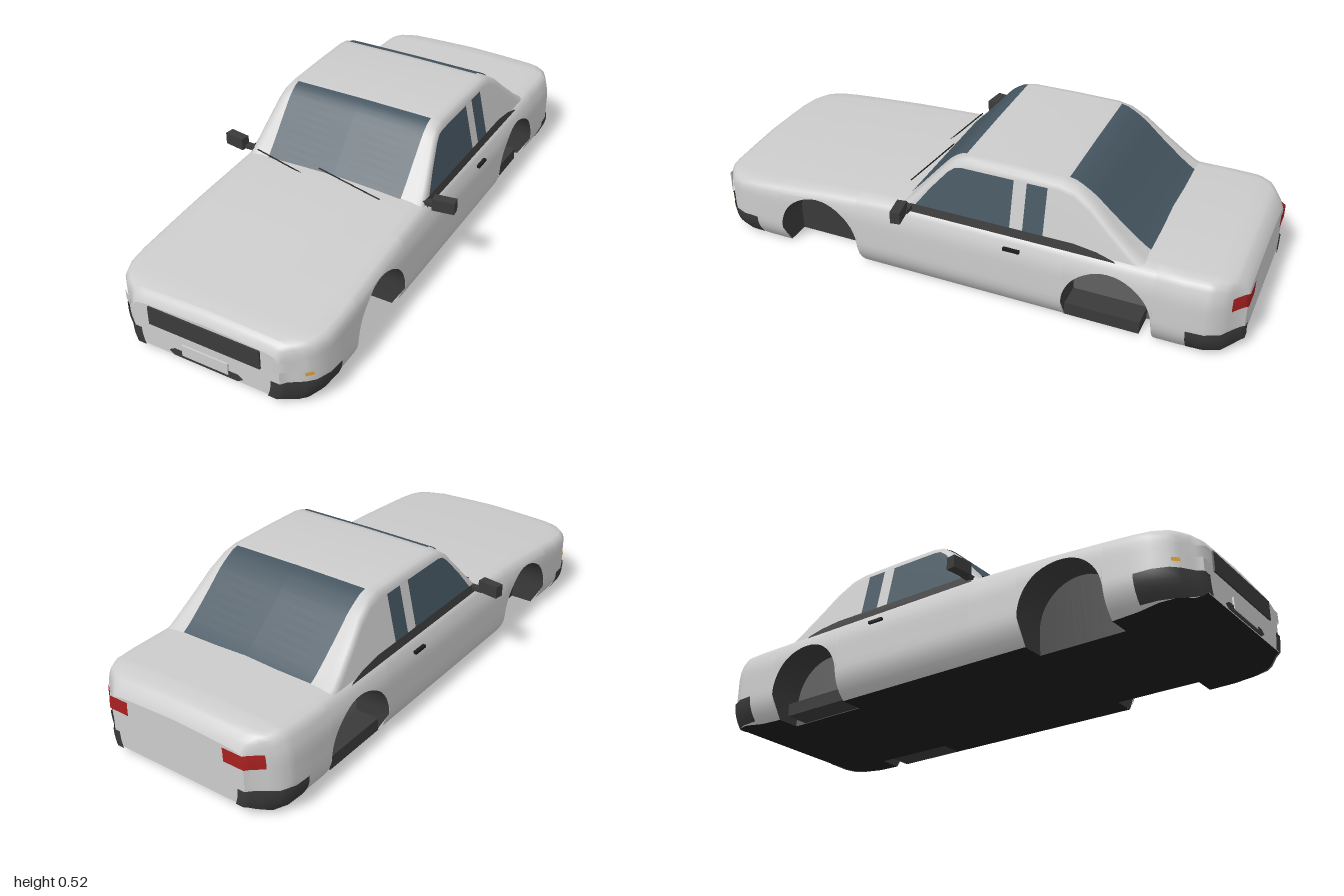
import * as THREE from 'three';

const GREY = 0xcccccc, DARK = 0x3a3a3a, BLACK = 0x1c1c1c, GLASS = 0x455560, RED = 0xa82020, AMBER = 0xe0a030;
const mat = (color) => new THREE.MeshStandardMaterial({ color, side: THREE.DoubleSide });

function mesh(name, geometry, color, parent) {
  const m = new THREE.Mesh(geometry, mat(color));
  m.name = name;
  parent.add(m);
  return m;
}

// Surface through rows of [x, y, z] points
function grid(rows) {
  const n = rows[0].length, index = [];
  for (let i = 0; i < rows.length - 1; i++) {
    for (let j = 0; j < n - 1; j++) {
      const a = i * n + j, b = a + n;
      index.push(a, b, a + 1, b, b + 1, a + 1);
    }
  }
  const g = new THREE.BufferGeometry();
  g.setAttribute('position', new THREE.Float32BufferAttribute(rows.flat(2), 3));
  g.setIndex(index);
  g.computeVertexNormals();
  return g;
}

// Linear lookup in a list of [z, value], z descending
function look(list, z) {
  if (z >= list[0][0]) return list[0][1];
  for (let i = 1; i < list.length; i++) {
    const [z0, v0] = list[i - 1], [z1, v1] = list[i];
    if (z >= z1) return v0 + (v1 - v0) * (z0 - z) / (z0 - z1);
  }
  return list[list.length - 1][1];
}

const END = 0.994;
const TOP = [[END, 0.207], [0.985, 0.228], [0.965, 0.241], [0.92, 0.25], [0.7, 0.27], [0.5, 0.287], [0.2, 0.303],
  [-0.68, 0.3], [-0.9, 0.3], [-0.95, 0.29], [-0.98, 0.268], [-END, 0.24]];
const WIDTH = [[END, 0.275], [0.975, 0.29], [0.945, 0.335], [0.92, 0.36], [0.87, 0.38], [0.8, 0.385],
  [-0.8, 0.385], [-0.88, 0.38], [-0.93, 0.356], [-0.96, 0.312], [-0.98, 0.287], [-END, 0.275]];
const BOTTOM = [[END, 0.04], [0.96, 0.022], [0.8, 0.003], [0.7, 0], [-0.7, 0], [-0.8, 0.003], [-0.95, 0.022], [-END, 0.045]];
const ROOF = [[0.23, 0.285], [0.17, 0.35], [0.11, 0.42], [0.06, 0.477], [0.025, 0.503], [-0.02, 0.513], [-0.18, 0.515],
  [-0.35, 0.513], [-0.4, 0.502], [-0.46, 0.465], [-0.53, 0.402], [-0.6, 0.343], [-0.64, 0.312], [-0.68, 0.288]];
const ARCHES = [0.55, -0.55], ARCH_R = 0.158, ARCH_Y = 0.085, WELL_X = 0.25;

// Side bulge: tucks in at the sill and towards the shoulder
const bulge = (y) => y < 0.1 ? 1 - 0.13 * ((0.1 - y) / 0.1) ** 2 : y > 0.2 ? 1 - 0.03 * ((y - 0.2) / 0.06) ** 2 : 1;
const cabinX = (y) => 0.352 - 0.037 * (y - 0.3) / 0.17;

// Half section of the lower body, from the sill to the centre line
function halfSection(z, low) {
  const w = look(WIDTH, z), t = look(TOP, z), s = t - 0.035, pts = [];
  for (let i = 0; i <= 10; i++) {
    const y = low + (s - low) * i / 10;
    pts.push([w * bulge(y), y, z]);
  }
  const k = bulge(s);
  return pts.concat([[w * (k - 0.02), t - 0.018, z], [w * (k - 0.06), t - 0.006, z],
    [w * 0.82, t, z], [w * 0.45, t + 0.005, z], [0, t + 0.009, z]]);
}
const flip = ([x, y, z]) => [-x, y, z];
const mirrored = (half) => [...half, ...half.slice(0, -1).reverse().map(flip)];

function buildBody(car) {
  const stations = [...new Set([...TOP, ...WIDTH, ...BOTTOM].map((p) => p[0]))]
    .filter((z) => ARCHES.every((c) => Math.abs(z - c) > ARCH_R + 0.002))
    .map((z) => ({ z, low: look(BOTTOM, z) }));
  for (const c of ARCHES) {
    for (const s of [1, -1]) stations.push({ z: c + s * (ARCH_R + 0.0006), low: 0 });
    for (let i = 0; i <= 24; i++) {
      const a = Math.PI * i / 24;
      stations.push({ z: c + ARCH_R * Math.cos(a), low: ARCH_Y + ARCH_R * Math.sin(a), arch: true });
    }
  }
  stations.sort((a, b) => b.z - a.z);
  mesh('bodyShell', grid(stations.map((s) => mirrored(halfSection(s.z, s.low)))), GREY, car);
  for (const [name, z] of [['frontFace', END], ['rearFace', -END]]) {
    mesh(name, grid(halfSection(z, look(BOTTOM, z)).map((p) => [flip(p), p])), GREY, car);
  }
  mesh('underside', grid(stations.map(({ z, arch }) => {
    const y = look(BOTTOM, z), x = arch ? WELL_X : look(WIDTH, z) * bulge(y);
    return [[-x, y, z], [x, y, z]];
  })), BLACK, car);
}

// Arch lining and inner wall of each wheel well
function buildWells(car) {
  for (const c of ARCHES) for (const side of [1, -1]) {
    const rim = [[c + ARCH_R, 0]];
    for (let i = 0; i <= 24; i++) {
      const a = Math.PI * i / 24;
      rim.push([c + ARCH_R * Math.cos(a), ARCH_Y + ARCH_R * Math.sin(a)]);
    }
    rim.push([c - ARCH_R, 0]);
    mesh('wheelWellLining', grid(rim.map(([z, y]) =>
      [[side * look(WIDTH, z) * bulge(y), y, z], [side * WELL_X, y, z]])), DARK, car);
    mesh('wheelWellWall', grid(rim.map(([z, y]) =>
      [[side * WELL_X, y, z], [side * WELL_X, 0, z]])), c > 0 ? DARK : 0x606060, car);
    if (c < 0) {
      const ledge = mesh('wheelWellLedge', new THREE.BoxGeometry(0.09, 0.048, 0.27), DARK, car);
      ledge.position.set(side * 0.295, 0.026, -0.525);
    }
  }
}

function buildCabin(car) {
  mesh('cabinShell', grid(ROOF.map(([z, t]) => {
    const s = t - 0.035, half = [];
    for (let i = 0; i <= 4; i++) {
      const y = Math.min(0.26, s) + (s - Math.min(0.26, s)) * i / 4;
      half.push([cabinX(y), y, z]);
    }
    const x = cabinX(s);
    half.push([x - 0.004, t - 0.018, z], [x - 0.016, t - 0.005, z], [x - 0.04, t, z], [0, t + 0.002, z]);
    return mirrored(half);
  })), GREY, car);

  // Front and rear glass follow the roof line
  const screen = (name, from, to) => mesh(name, grid(Array.from({ length: 13 }, (_, i) => {
    const z = from + (to - from) * i / 12, y = look(ROOF, z) + 0.005;
    return [[-0.27, y, z], [0, y + 0.002, z], [0.27, y, z]];
  })), GLASS, car);
  screen('windscreen', 0.222, 0.0);
  screen('rearWindow', -0.37, -0.66);

  // Side glass and belt trim lie on the sloping cabin side
  const panel = (name, pts, color, gap) => {
    for (const side of [1, -1]) {
      const g = new THREE.ShapeGeometry(new THREE.Shape(pts.map((p) => new THREE.Vector2(...p))));
      const p = g.attributes.position;
      for (let i = 0; i < p.count; i++) {
        const z = p.getX(i), y = p.getY(i);
        p.setXYZ(i, side * (cabinX(y) + gap), y, z);
      }
      g.computeVertexNormals();
      mesh(name, g, color, car);
    }
  };
  panel('doorWindow', [[0.165, 0.31], [0.11, 0.385], [0.05, 0.456], [0.025, 0.476], [0, 0.481], [-0.19, 0.481], [-0.19, 0.31]], GLASS, 0.003);
  panel('quarterWindow', [[-0.237, 0.481], [-0.31, 0.481], [-0.31, 0.31], [-0.237, 0.31]], GLASS, 0.003);
  panel('beltTrim', [[0.2, 0.275], [0.18, 0.316], [-0.42, 0.316], [-0.5, 0.306], [-0.56, 0.29], [-0.58, 0.275]], DARK, 0.006);
}

// Band wrapped round a corner of the body: starts at z, ends on the end face at x
function wrap(name, z, xEnd, y0, y1, color, car, gap = 0.004, zEnd = END) {
  const dir = Math.sign(z);
  const path = [[look(WIDTH, z), z]];
  for (const [pz, w] of [...WIDTH].sort((a, b) => dir * (a[0] - b[0]))) {
    if (dir * pz > dir * z && Math.abs(pz) < zEnd + 0.001) path.push([w, pz]);
  }
  if (xEnd) path.push([xEnd, dir * END]);
  for (const side of [1, -1]) {
    mesh(name, grid(path.map(([x, pz]) => Array.from({ length: 6 }, (_, i) => {
      const low = Math.max(y0, look(BOTTOM, pz) - 0.002), y = low + (y1 - low) * i / 5;
      const out = xEnd && x === xEnd ? 0 : gap;
      return [side * (x * bulge(y) + out), y, pz + dir * gap];
    }))), color, car);
  }
}

function buildDetails(car) {
  const box = (name, size, pos, color) => {
    const m = mesh(name, new THREE.BoxGeometry(...size), color, car);
    m.position.set(...pos);
    return m;
  };
  wrap('frontBumperCorner', 0.81, 0.245, 0.015, 0.105, DARK, car);
  wrap('rearBumperCorner', -0.82, 0.25, 0.015, 0.105, DARK, car);
  wrap('headlight', 0.935, 0.222, 0.15, 0.19, 0xd8d8d8, car, 0.005);
  wrap('indicator', 0.925, 0, 0.126, 0.139, AMBER, car, 0.004, 0.96);
  wrap('tailLight', -0.95, 0.2, 0.185, 0.235, RED, car, 0.005);

  box('grille', [0.42, 0.07, 0.01], [0, 0.17, 0.995], DARK);
  box('numberPlate', [0.175, 0.043, 0.008], [0, 0.077, 0.996], GREY);
  const intake = new THREE.Shape([[-0.14, 0.056], [-0.12, 0.044], [0.12, 0.044], [0.14, 0.056], [0.12, 0.068], [-0.12, 0.068]]
    .map((p) => new THREE.Vector2(...p)));
  mesh('lowerIntake', new THREE.ExtrudeGeometry(intake, { depth: 0.006, bevelEnabled: false }), DARK, car).position.z = 0.992;

  for (const s of [1, -1]) {
    box('doorHandle', [0.012, 0.01, 0.06], [s * 0.383, 0.246, -0.21], BLACK);
    // Door mirror on a short arm
    box('mirrorHousing', [0.08, 0.045, 0.035], [s * 0.423, 0.318, 0.19], DARK).rotation.y = s * 0.15;
    box('mirrorArm', [0.06, 0.014, 0.025], [s * 0.365, 0.303, 0.185], DARK);
  }
  // Wipers
  for (const [a, b] of [[[-0.32, 0.318, 0.21], [-0.1, 0.304, 0.25]], [[-0.06, 0.32, 0.21], [0.21, 0.304, 0.255]]]) {
    const line = new THREE.LineCurve3(new THREE.Vector3(...a), new THREE.Vector3(...b));
    mesh('wiper', new THREE.TubeGeometry(line, 1, 0.0025, 6), BLACK, car);
  }
}

export function createModel() {
  const car = new THREE.Group();
  car.name = 'carBody';
  buildBody(car);
  buildWells(car);
  buildCabin(car);
  buildDetails(car);
  return car;
}
